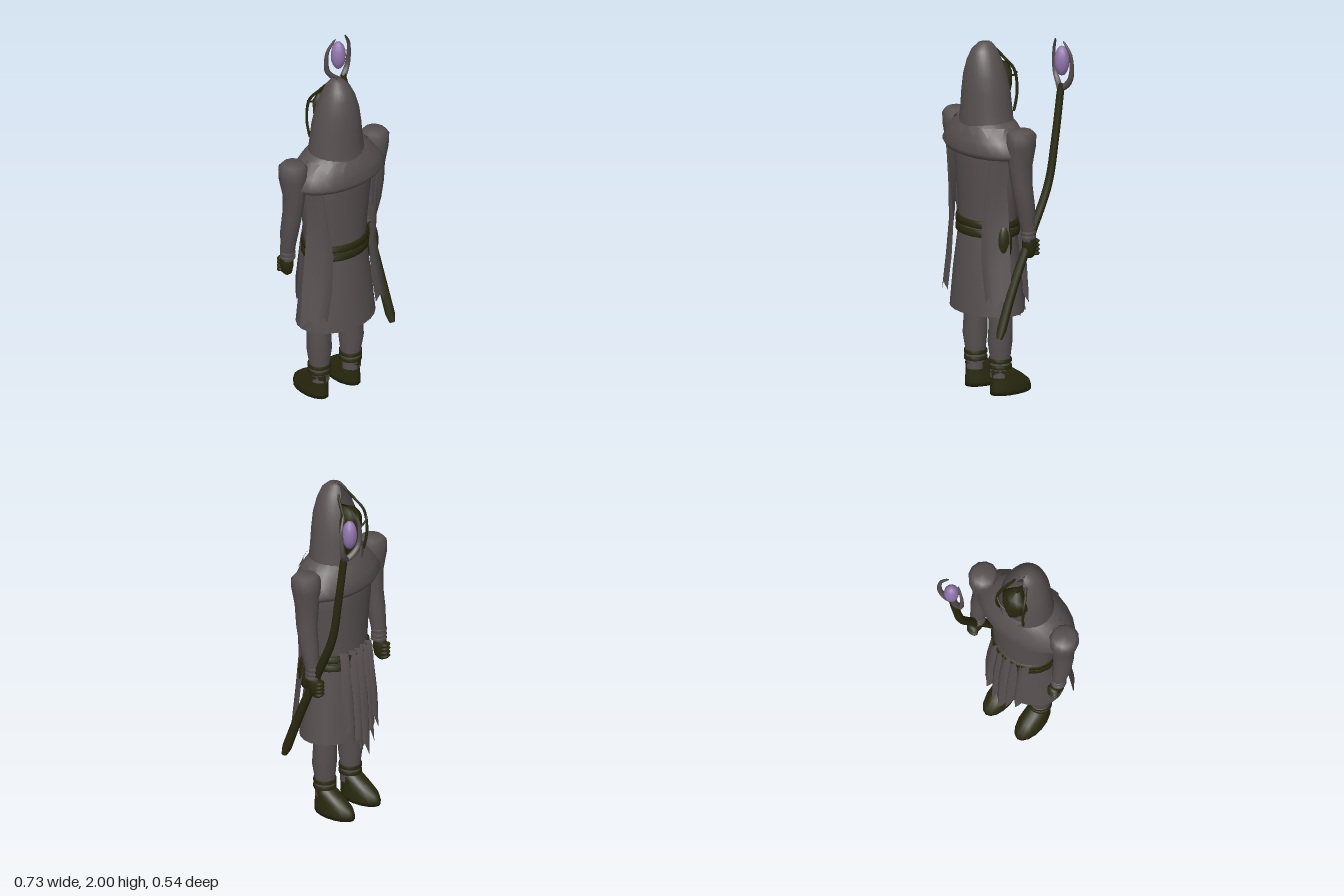
import * as THREE from 'three';

const mat = (name, color) => {
  const m = new THREE.MeshStandardMaterial({ color, side: THREE.DoubleSide });
  m.name = name;
  return m;
};

export function createModel() {
  const model = new THREE.Group();
  const cloth = mat('grey cloth', 0x575150);
  const leather = mat('dark olive leather', 0x29290f);
  const crystal = mat('purple crystal', 0x9276ae);

  const add = (name, geo, material) => {
    const mesh = new THREE.Mesh(geo, material);
    mesh.name = name;
    model.add(mesh);
    return mesh;
  };

  // Surface through rows of points, listed from bottom to top
  const surface = (rows, closed) => {
    const n = rows[0].length, index = [];
    for (let i = 0; i < rows.length - 1; i++)
      for (let j = 0; j < (closed ? n : n - 1); j++) {
        const a = i * n + j, b = i * n + (j + 1) % n;
        index.push(a, b, a + n, b, b + n, a + n);
      }
    const g = new THREE.BufferGeometry();
    g.setAttribute('position', new THREE.Float32BufferAttribute(rows.flat(2), 3));
    g.setIndex(index);
    g.computeVertexNormals();
    return g;
  };

  // Elliptical rings: [y, centre x, centre z, radius x, radius z, half opening toward -z]
  const loft = (rings, seg = 18, open = false) => surface(rings.map(([y, cx, cz, rx, rz, gap = 0]) =>
    Array.from({ length: open ? seg + 1 : seg }, (_, j) => {
      const a = -Math.PI + gap + (j / seg) * 2 * (Math.PI - gap);
      return [cx + rx * Math.sin(a), y, cz + rz * Math.cos(a)];
    })), !open);

  // Tube along points, tapering from r0 to r1, with closed ends
  const taper = (pts, r0, r1, sides = 8, seg = 20) => {
    const curve = new THREE.CatmullRomCurve3(pts.map(p => new THREE.Vector3(...p)));
    const g = new THREE.TubeGeometry(curve, seg, 1, sides);
    const p = g.attributes.position, v = new THREE.Vector3();
    for (let i = 0; i < p.count; i++) {
      const k = Math.floor(i / (sides + 1));
      const c = curve.getPointAt(k / seg);
      v.fromBufferAttribute(p, i).sub(c).multiplyScalar(k === 0 || k === seg ? 0.6 * (k ? r1 : r0) : r0 + (r1 - r0) * k / seg).add(c);
      p.setXYZ(i, v.x, v.y, v.z);
    }
    return g;
  };

  const band = (name, y, cx, cz, rx, rz, h, material) => add(name, loft([
    [y - h, cx, cz, rx * 0.92, rz * 0.92], [y - h * 0.8, cx, cz, rx, rz],
    [y + h * 0.8, cx, cz, rx, rz], [y + h, cx, cz, rx * 0.92, rz * 0.92]]), material);

  // Robe
  add('skirt', loft([
    [0.47, 0, 0.075, 0.24, 0.18], [0.7, 0, 0.075, 0.215, 0.165],
    [0.95, 0, 0.07, 0.185, 0.14]], 24), cloth);
  add('torso', loft([
    [0.93, 0, 0.07, 0.185, 0.14], [1.1, 0, 0.07, 0.2, 0.14], [1.3, 0, 0.07, 0.225, 0.15],
    [1.45, 0, 0.07, 0.23, 0.15], [1.55, 0, 0.07, 0.14, 0.11]], 24), cloth);
  for (const y of [0.925, 0.975]) band('belt', y, 0, 0.07, 0.2, 0.16, 0.022, leather);

  // Shoulder mantle with a rolled lower edge
  add('mantle', loft([
    [1.36, 0, 0.08, 0.235, 0.155], [1.37, 0, 0.08, 0.285, 0.175], [1.4, 0, 0.08, 0.31, 0.19],
    [1.46, 0, 0.08, 0.27, 0.175], [1.52, 0, 0.08, 0.215, 0.15], [1.56, 0, 0.08, 0.14, 0.125]], 24), cloth);
  // Torn collar points
  for (let i = 0; i < 9; i++) {
    const at = (a, y, k) => [k * 0.205 * Math.sin(a), y, 0.08 + k * 0.155 * Math.cos(a)];
    const a = -1.6 + i * 0.4;
    add('collarTatter', surface([
      [at(a, 1.49, 1.17), at(a + 0.02, 1.49, 1.17)],
      [at(a - 0.17, 1.535, 1.02), at(a + 0.17, 1.535, 1.02)]]), cloth);
  }

  // Hood, open toward the face
  add('hood', loft([
    [1.52, 0, 0.08, 0.165, 0.145, 0.25], [1.6, 0, 0.08, 0.152, 0.138, 0.5],
    [1.7, 0, 0.083, 0.14, 0.132, 0.62], [1.8, 0, 0.09, 0.122, 0.118, 0.62],
    [1.88, 0, 0.095, 0.096, 0.096, 0.5], [1.94, 0, 0.095, 0.066, 0.072, 0.35],
    [1.975, 0, 0.09, 0.035, 0.04, 0.2], [1.98, 0, 0.085, 0.004, 0.008, 0.1]], 24, true), cloth);

  // Mask with a beaked ridge
  add('mask', surface([
    [1.57, 0.03, -0.05, 0.01], [1.64, 0.065, -0.07, 0.0], [1.73, 0.085, -0.082, -0.01],
    [1.8, 0.088, -0.075, -0.015], [1.845, 0.05, -0.05, -0.01], [1.86, 0.01, 0, 0.02]
  ].map(([y, w, zf, zs]) => [[-w, y, zs], [-w * 0.6, y, (zf + zs) / 2 - 0.012], [0, y, zf],
    [w * 0.6, y, (zf + zs) / 2 - 0.012], [w, y, zs], [0, y, 0.06]].reverse()), true), leather);
  add('maskCrest', taper([[0, 1.74, -0.084], [0, 1.8, -0.08], [0, 1.84, -0.06]], 0.008, 0.005, 6, 8), leather);

  for (const s of [-1, 1]) {
    // Straps and brows of the mask
    add('maskStrap', taper([[s * 0.085, 1.58, -0.045], [s * 0.093, 1.7, -0.06], [s * 0.085, 1.82, -0.045],
      [s * 0.058, 1.89, 0.005], [s * 0.03, 1.945, 0.045]], 0.008, 0.008, 6), leather);
    add('maskBrow', taper([[s * 0.015, 1.76, -0.085], [s * 0.05, 1.775, -0.083], [s * 0.08, 1.8, -0.07]],
      0.007, 0.004, 6, 8), leather);

    // Arms
    add('arm', loft([
      [0.9, s * 0.285, 0.01, 0.033, 0.033], [0.97, s * 0.287, 0.015, 0.04, 0.04],
      [1.1, s * 0.29, 0.035, 0.052, 0.054], [1.22, s * 0.287, 0.055, 0.054, 0.06],
      [1.34, s * 0.28, 0.06, 0.06, 0.07], [1.45, s * 0.287, 0.06, 0.078, 0.083],
      [1.51, s * 0.287, 0.06, 0.08, 0.084], [1.535, s * 0.285, 0.06, 0.06, 0.062],
      [1.537, s * 0.285, 0.06, 0, 0]], 12), cloth);
    for (const y of [0.925, 0.95, 0.98]) band('wristWrap', y, s * 0.286, 0.012, 0.043, 0.043, 0.009, cloth);

    // Gloves
    add('glove', loft([
      [0.8, s * 0.282, -0.005, 0.008, 0.015], [0.82, s * 0.284, 0, 0.026, 0.035],
      [0.87, s * 0.284, 0, 0.037, 0.045], [0.91, s * 0.285, 0.005, 0.036, 0.038],
      [0.94, s * 0.285, 0.01, 0.028, 0.028]], 10), leather);
    for (let i = 0; i < 4; i++) {
      const finger = add('finger', new THREE.SphereGeometry(1, 8, 6), leather);
      finger.scale.set(0.036, 0.013, 0.022);
      finger.position.set(s * 0.285, 0.825 + i * 0.023, -0.034);
    }

    // Legs, ankle straps and boots
    add('leg', loft([
      [0.1, s * 0.11, 0.07, 0.055, 0.058], [0.2, s * 0.11, 0.07, 0.056, 0.056],
      [0.3, s * 0.112, 0.072, 0.071, 0.068], [0.4, s * 0.112, 0.068, 0.068, 0.066],
      [0.6, s * 0.105, 0.07, 0.075, 0.075]], 14), cloth);
    for (const y of [0.16, 0.195]) band('ankleStrap', y, s * 0.11, 0.07, 0.064, 0.064, 0.012, leather);
    add('boot', loft([
      [0, s * 0.112, 0, 0, 0], [0, s * 0.112, 0, 0.066, 0.13], [0.025, s * 0.112, 0, 0.069, 0.131],
      [0.06, s * 0.112, 0.005, 0.066, 0.124], [0.1, s * 0.112, 0.03, 0.06, 0.098],
      [0.135, s * 0.112, 0.058, 0.057, 0.07], [0.155, s * 0.112, 0.07, 0.05, 0.055]], 16), leather);

    // Long torn cape tail on each side of the back
    const tail = (y, xo, xi, zo, zi, jag = 0) => [0, 0.25, 0.5, 0.75, 1].map((t, i) => [
      s * (xo + (xi - xo) * t), y + (i % 2 ? jag : 0) + t * jag * 0.6,
      zo + (zi - zo) * t + 0.035 * Math.sin(t * Math.PI)]);
    add('capeTail', surface([
      tail(0.52, 0.295, 0.17, 0.13, 0.215, 0.05), tail(0.75, 0.27, 0.135, 0.12, 0.215),
      tail(0.95, 0.245, 0.125, 0.11, 0.21), tail(1.2, 0.225, 0.165, 0.11, 0.205),
      tail(1.4, 0.24, 0.19, 0.11, 0.2)]), cloth);
  }

  // Folded, torn cloth strips hanging from the belt
  for (const [x, w, bottom] of [[-0.1, 0.05, 0.5], [0, 0.05, 0.37], [0.1, 0.05, 0.48], [-0.045, 0.035, 0.44], [0.05, 0.035, 0.42]]) {
    const strip = (y, k, z, jag) => [-1, -0.4, 0, 0.5, 1].map((t, i) =>
      [x + t * w * k, y + jag * [1.6, 0.5, 0, 1.2, 0.7][i], z + 0.035 * Math.abs(t) + x * x * 2]);
    add('clothStrip', surface([
      strip(bottom, 0.8, -0.155, 0.06), strip(0.7, 1, -0.14, 0),
      strip(0.95, 0.7, -0.118, 0), strip(1.02, 0.65, -0.105, 0)]), cloth);
  }

  // Hip pouch
  const pouch = add('pouch', new THREE.SphereGeometry(1, 14, 10), leather);
  pouch.scale.set(0.035, 0.11, 0.046);
  pouch.position.set(0.215, 0.89, 0.12);

  // Staff with a pronged head holding a crystal
  add('staff', taper([[0.287, 0.375, 0.212], [0.28, 0.65, 0.11], [0.283, 0.93, -0.01], [0.287, 1.2, -0.125],
    [0.29, 1.45, -0.17], [0.29, 1.755, -0.212]], 0.027, 0.021, 10, 30), leather);
  for (const s of [-1, 1])
    add('staffProng', taper([[0.275, 1.72, -0.215], [0.275 + s * 0.04, 1.75, -0.232], [0.27 + s * 0.072, 1.8, -0.24],
      [0.27 + s * 0.075, 1.92, -0.235], [0.27 + s * 0.055, 1.965, -0.225], [0.27 + s * 0.034, 1.998, -0.215]],
      0.02, 0.006, 6, 18), cloth);
  const orb = add('crystal', new THREE.SphereGeometry(1, 12, 8), crystal);
  orb.scale.set(0.042, 0.085, 0.042);
  orb.position.set(0.27, 1.877, -0.232);

  return model;
}
